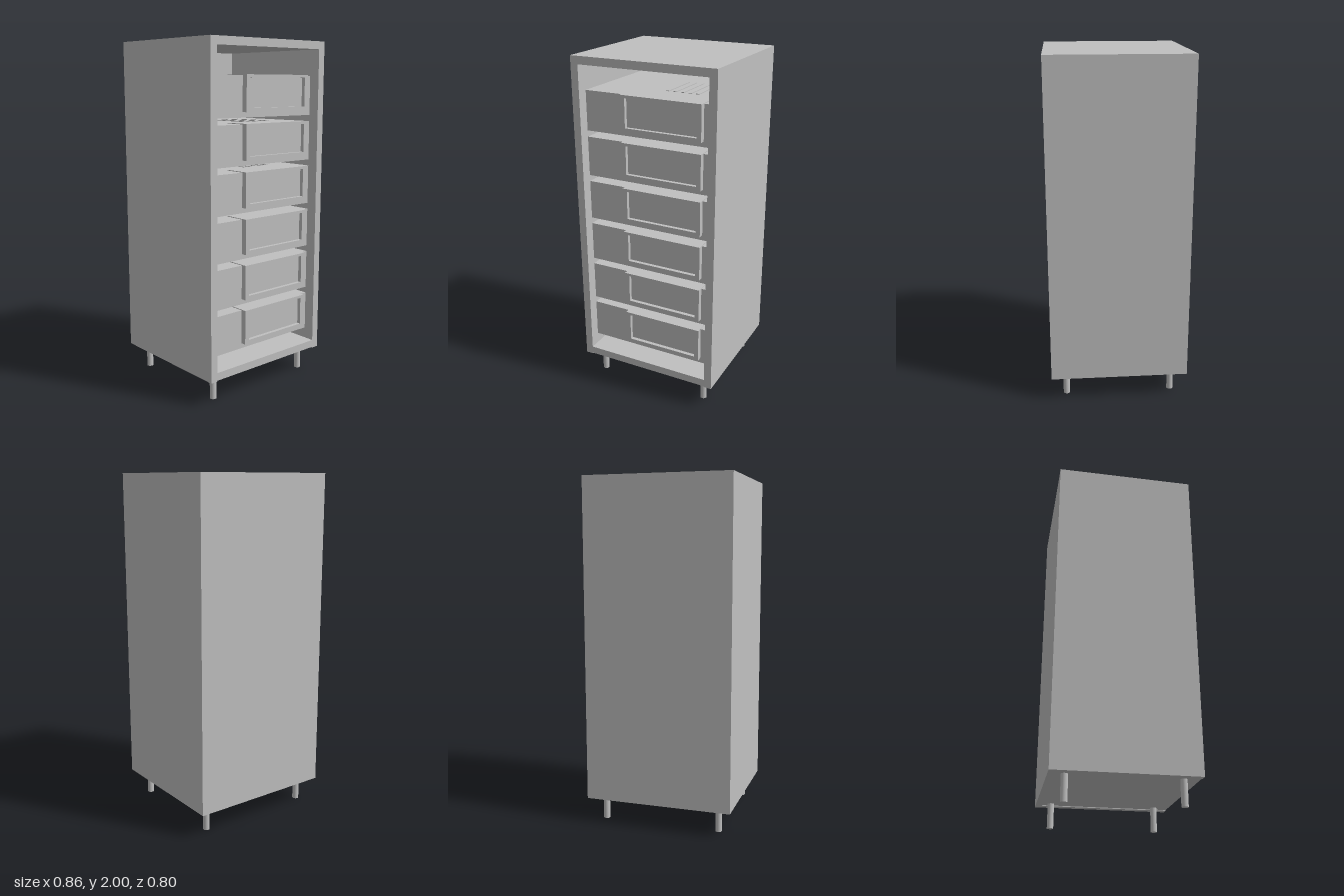
import * as THREE from 'three';

export function createModel() {
  const model = new THREE.Group();
  model.name = 'drawerCabinet';
  const grey = new THREE.MeshStandardMaterial({ color: 0xc0c0c0 });
  grey.name = 'light grey';

  // Box given by its lower and upper corners
  function box(parent, name, [x0, y0, z0], [x1, y1, z1]) {
    const mesh = new THREE.Mesh(new THREE.BoxGeometry(x1 - x0, y1 - y0, z1 - z0), grey);
    mesh.position.set((x0 + x1) / 2, (y0 + y1) / 2, (z0 + z1) / 2);
    mesh.name = name;
    parent.add(mesh);
  }

  // Rectangular outline, optionally used as a hole
  function rect(Type, x0, y0, x1, y1) {
    return new Type([[x0, y0], [x1, y0], [x1, y1], [x0, y1]].map(p => new THREE.Vector2(...p)));
  }

  // Cabinet shell, open at the front
  const shell = new THREE.Group();
  shell.name = 'shell';
  model.add(shell);
  box(shell, 'rightWall', [-0.43, 0.14, -0.4], [-0.385, 2, 0.4]);
  box(shell, 'leftWall', [0.385, 0.14, -0.4], [0.43, 2, 0.4]);
  box(shell, 'top', [-0.385, 1.955, -0.4], [0.385, 2, 0.4]);
  box(shell, 'back', [-0.385, 0.14, -0.4], [0.385, 1.955, -0.36]);
  box(shell, 'floor', [-0.385, 0.145, -0.36], [0.385, 0.19, 0.4]);

  // Six identical units stacked with gaps
  for (let i = 0; i < 6; i++) {
    const unit = new THREE.Group();
    unit.name = 'unit' + (i + 1);
    unit.position.y = 0.255 + i * 0.2645;
    model.add(unit);
    box(unit, 'unitBody', [-0.385, 0, -0.36], [0.385, 0.228, 0.335]);

    // Proud front block with a framed, recessed face
    box(unit, 'frontBlock', [-0.15, 0.03, 0.21], [0.33, 0.232, 0.345]);
    const frame = rect(THREE.Shape, -0.15, 0.03, 0.33, 0.232);
    frame.holes.push(rect(THREE.Path, -0.122, 0.052, 0.305, 0.216));
    const rim = new THREE.Mesh(
      new THREE.ExtrudeGeometry(frame, { depth: 0.022, bevelEnabled: false }), grey);
    rim.position.z = 0.345;
    rim.name = 'frontFrame';
    unit.add(rim);

    // Low ribs on the lid
    for (let k = 0; k < 5; k++) {
      const x = 0.02 + k * 0.045;
      box(unit, 'lidRib', [x, 0.228, -0.1], [x + 0.02, 0.232, 0.16]);
    }
  }

  // Round legs
  const legGeometry = new THREE.CylinderGeometry(0.019, 0.019, 0.145, 24);
  for (const x of [-0.345, 0.345]) {
    for (const z of [-0.312, 0.312]) {
      const leg = new THREE.Mesh(legGeometry, grey);
      leg.position.set(x, 0.0725, z);
      leg.name = 'leg';
      model.add(leg);
    }
  }
  return model;
}
